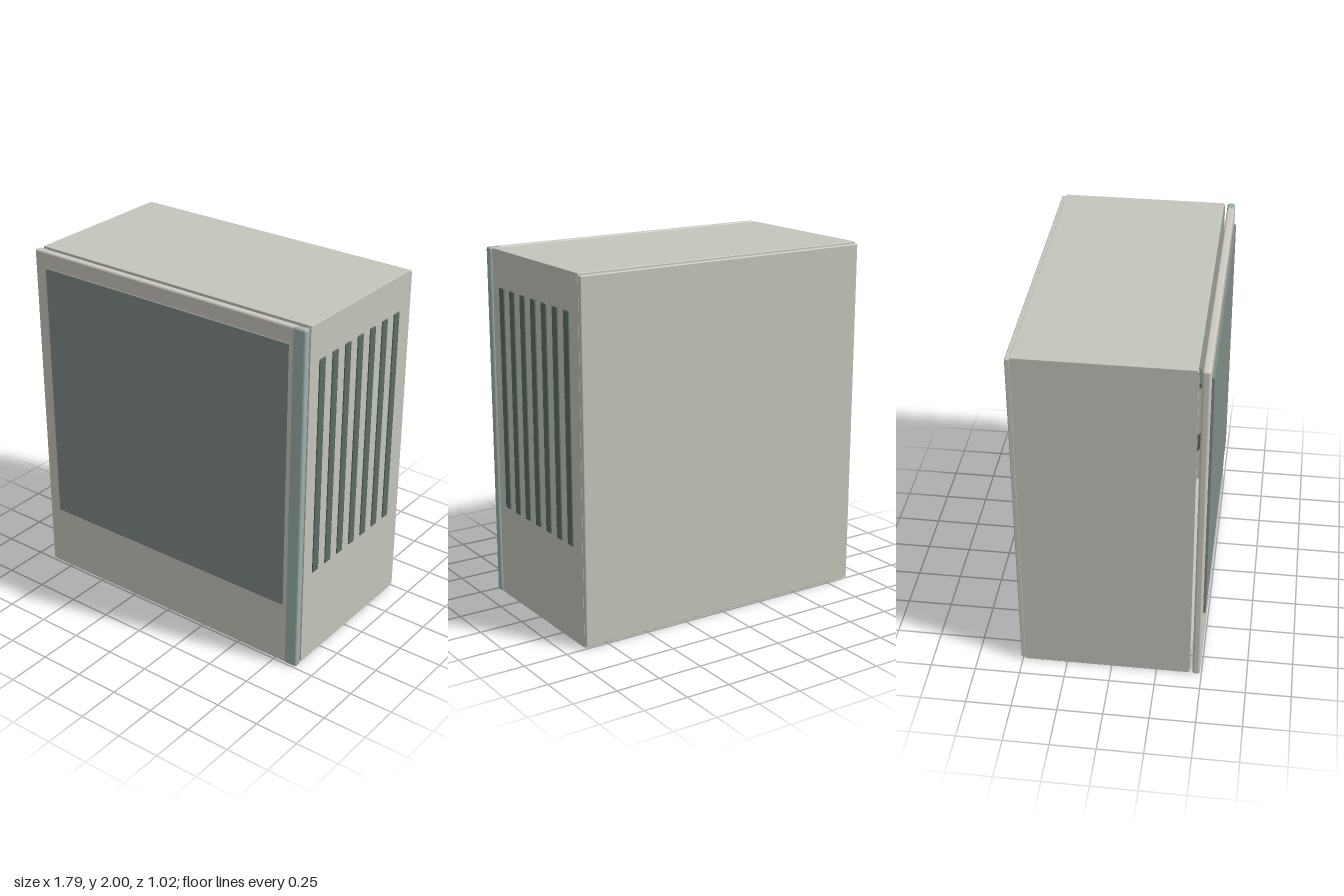
import * as THREE from 'three';
import { RoundedBoxGeometry } from 'three/addons/geometries/RoundedBoxGeometry.js';

const mat = (color) => new THREE.MeshStandardMaterial({ color });

export function createModel() {
  const model = new THREE.Group();
  const shell = mat(0xc4c5bb), cream = mat(0xcbc9c0), teal = mat(0x9db0aa);
  const glass = mat(0x808c87), dark = mat(0x5b6c63);

  // box given by its min and max on each axis, optionally with rounded edges
  const box = (name, [x0, x1], [y0, y1], [z0, z1], material, radius = 0) => {
    const size = [x1 - x0, y1 - y0, z1 - z0];
    const geometry = radius ? new RoundedBoxGeometry(...size, 2, radius) : new THREE.BoxGeometry(...size);
    const mesh = new THREE.Mesh(geometry, material);
    mesh.name = name;
    mesh.position.set((x0 + x1) / 2, (y0 + y1) / 2, (z0 + z1) / 2);
    model.add(mesh);
  };

  // hollow cabinet, open towards the door
  box('topPanel', [-0.885, 0.885], [1.98, 2], [-0.485, 0.43], shell, 0.004);
  box('bottomPanel', [-0.885, 0.885], [0.005, 0.02], [-0.485, 0.43], shell, 0.004);
  for (const s of [-1, 1]) {
    const x = [s * 0.865, s * 0.885].sort((a, b) => a - b);
    box(s > 0 ? 'leftPanel' : 'rightPanel', x, [0.015, 1.99], [-0.485, 0.435], shell);
  }
  box('backPanel', [-0.885, 0.885], [0.015, 1.99], [-0.51, -0.483], shell, 0.006);

  // row of upright vent slats on one side
  for (let i = 0; i < 7; i++) {
    const z = 0.33 - i * 0.116;
    box('ventSlat', [0.88, 0.892], [0.545, 1.795], [z - 0.025, z + 0.025], dark, 0.003);
  }

  // front door with edge trim and raised window
  box('door', [-0.893, 0.89], [0.005, 2], [0.45, 0.492], cream, 0.012);
  box('doorTrim', [0.812, 0.892], [0.004, 2], [0.449, 0.493], teal, 0.012);
  box('window', [-0.805, 0.805], [0.385, 1.91], [0.485, 0.506], glass);

  // thin wheel rim standing inside, just reaching the gap behind the door
  const rimShape = new THREE.Shape().absarc(0, 0, 0.358, 0, Math.PI * 2);
  rimShape.holes.push(new THREE.Path().absarc(0, 0, 0.34, 0, Math.PI * 2));
  const rim = new THREE.Mesh(
    new THREE.ExtrudeGeometry(rimShape, { depth: 0.14, bevelEnabled: false, curveSegments: 24 }), dark);
  rim.name = 'innerWheelRim';
  rim.rotation.y = Math.PI / 2;
  rim.position.set(0.415, 0.82, 0.095);
  model.add(rim);

  return model;
}
